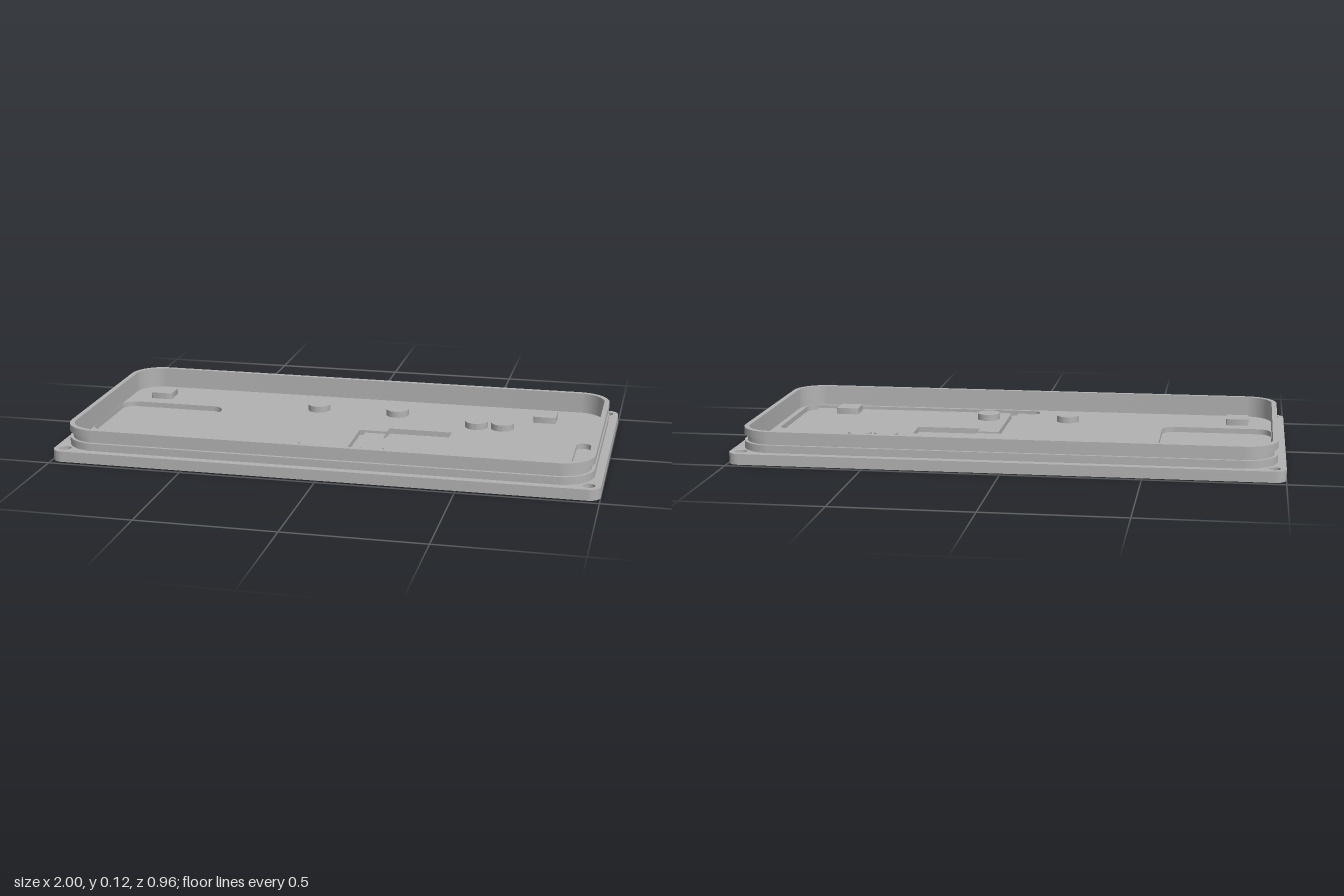
import * as THREE from 'three';
import { toCreasedNormals } from 'three/addons/utils/BufferGeometryUtils.js';

// Rounded rectangle in plan (x, z), centred on cx, cz, with half sizes hx, hz
function roundedRect(hx, hz, r, cx = 0, cz = 0, Type = THREE.Shape) {
  const s = new Type();
  s.absarc(cx + hx - r, cz + hz - r, r, 0, Math.PI / 2);
  s.absarc(cx - hx + r, cz + hz - r, r, Math.PI / 2, Math.PI);
  s.absarc(cx - hx + r, cz - hz + r, r, Math.PI, Math.PI * 1.5);
  s.absarc(cx + hx - r, cz - hz + r, r, Math.PI * 1.5, Math.PI * 2);
  s.closePath();
  return s;
}

function circle(x, z, r, Type = THREE.Path) {
  return new Type().absarc(x, z, r, 0, Math.PI * 2);
}

// Plan shape extruded from height y0 to y1
function slab(shape, holes, y0, y1) {
  shape.holes.push(...holes);
  const g = new THREE.ExtrudeGeometry(shape, { depth: y1 - y0, bevelEnabled: false, curveSegments: 16 });
  g.rotateX(Math.PI / 2).translate(0, y1, 0);
  return toCreasedNormals(g, 0.6);
}

// Component pocket joined to the narrow and wide cable channels
function channelPath() {
  const p = new THREE.Path();
  p.moveTo(0.16, -0.06);
  for (const [x, z] of [[0.4, -0.06], [0.4, 0.06], [0.16, 0.06], [0.16, 0.01],
    [0.08, 0.01], [0.08, 0.36], [0.875, 0.36]]) p.lineTo(x, z);
  p.absarc(0.9025, -0.005, 0.0275, Math.PI, Math.PI * 2);
  p.lineTo(0.93, 0.365);
  p.quadraticCurveTo(0.93, 0.415, 0.88, 0.415);
  p.absarc(0, 0.383, 0.032, Math.PI / 2, Math.PI * 2 - 0.8);
  p.lineTo(0.053, 0.36);
  p.lineTo(0.053, -0.018);
  p.lineTo(0.16, -0.018);
  p.closePath();
  return p;
}

export function createModel() {
  const group = new THREE.Group();
  group.name = 'enclosureLid';
  const grey = new THREE.MeshStandardMaterial({ color: 0xb2b2b2 });
  grey.name = 'grey';
  const add = (name, geometry) => {
    const mesh = new THREE.Mesh(geometry, grey);
    mesh.name = name;
    group.add(mesh);
  };

  const bosses = [[0.48, -0.157], [0.58, -0.157]];
  const corners = [];
  const posts = [];
  for (const sz of [-1, 1]) {
    bosses.push([-0.16, sz * 0.247], [0.155, sz * 0.247]);
    posts.push([-0.82, sz * 0.298], [0.73, sz * 0.298]);
    corners.push([-0.958, sz * 0.437], [0.958, sz * 0.437]);
  }
  const drill = (points, r) => points.map(([x, z]) => circle(x, z, r));
  const mid = 0.02, floor = 0.04;

  // Base plate: lower layer with counterbores, upper layer with the recesses
  add('plateBottom', slab(roundedRect(1, 0.48, 0.042),
    [...drill(corners, 0.03), ...drill(bosses, 0.02), circle(0, 0.383, 0.032)], 0, mid));
  add('plateTop', slab(roundedRect(1, 0.48, 0.042),
    [...drill(corners, 0.022), ...drill(bosses, 0.02), channelPath(),
      roundedRect(0.2075, 0.197, 0.05, -0.7425, 0, THREE.Path)], mid, floor));

  // Raised rim in three bands, the middle one forming the seal groove
  [['rimLower', 0, 0.04, 0.068], ['rimGroove', 0.012, 0.068, 0.091], ['rimUpper', 0, 0.091, 0.118]]
    .forEach(([name, inset, y0, y1]) => add(name, slab(
      roundedRect(0.97 - inset, 0.45 - inset, 0.12 - inset),
      [roundedRect(0.951, 0.431, 0.101, 0, 0, THREE.Path)], y0, y1)));

  // Round screw bosses, drilled from below
  for (const [x, z] of bosses) {
    add('bossSleeve', slab(circle(x, z, 0.044, THREE.Shape), [circle(x, z, 0.02)], floor, 0.052));
    add('bossCap', slab(circle(x, z, 0.044, THREE.Shape), [], 0.052, 0.064));
  }

  // Square support posts
  for (const [x, z] of posts) add('supportPost', slab(roundedRect(0.043, 0.043, 0.008, x, z), [], floor, 0.064));

  return group;
}
